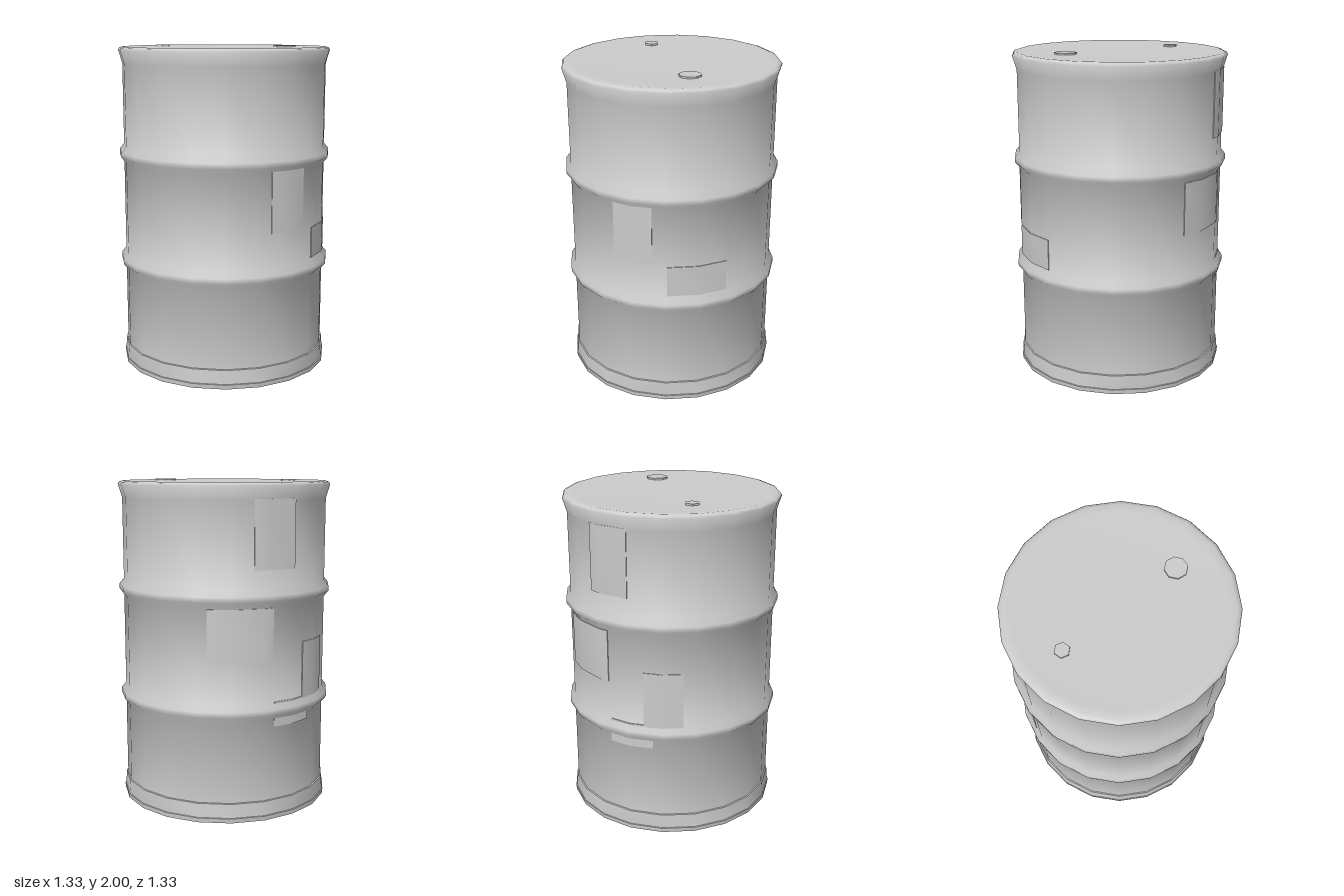
import * as THREE from 'three';
import { toCreasedNormals } from 'three/addons/utils/BufferGeometryUtils.js';

const SIDES = 20;
const BODY_R = 0.635;
const STEP = (Math.PI * 2) / SIDES;
const steel = new THREE.MeshStandardMaterial({ color: 0xcccccc });
steel.name = 'grey steel';

function part(name, geometry, parent) {
  const mesh = new THREE.Mesh(geometry, steel);
  mesh.name = name;
  parent.add(mesh);
  return mesh;
}

// Four profile points of a rolled hoop around height y
const hoop = (y) => [[BODY_R, y - 0.05], [0.663, y - 0.016], [0.663, y + 0.016], [BODY_R, y + 0.05]];

// Curved plate that follows the faceted wall; angles in degrees from +z towards +x
function wallPlate(fromDeg, toDeg, y0, y1) {
  const a0 = THREE.MathUtils.degToRad(fromDeg);
  const a1 = THREE.MathUtils.degToRad(toDeg);
  const angles = [a0];
  for (let k = Math.floor(a0 / STEP) + 1; k * STEP < a1 - 0.001; k++) angles.push(k * STEP);
  angles.push(a1);
  const point = (a, r) => {
    const local = a - Math.floor(a / STEP + 1e-6) * STEP - STEP / 2;
    const d = (r * Math.cos(STEP / 2)) / Math.cos(local);
    return new THREE.Vector2(d * Math.sin(a), -d * Math.cos(a));
  };
  const outline = [
    ...angles.map((a) => point(a, BODY_R + 0.005)),
    ...angles.slice().reverse().map((a) => point(a, BODY_R - 0.003)),
  ];
  const geometry = new THREE.ExtrudeGeometry(new THREE.Shape(outline), { depth: y1 - y0, bevelEnabled: false });
  geometry.rotateX(-Math.PI / 2).translate(0, y0, 0);
  return toCreasedNormals(geometry, 0.6);
}

export function createModel() {
  const drum = new THREE.Group();
  drum.name = 'drum';

  // Shell: base, bottom rim, wall with two hoops, top rim and lid
  const profile = [
    [0, 0], [0.652, 0], [0.655, 0.028], [0.65, 0.03], [0.642, 0.115], [BODY_R, 0.118],
    ...hoop(0.664), ...hoop(1.338),
    [BODY_R, 1.89], [0.66, 1.972], [0.652, 1.985], [0.63, 1.992], [0.59, 1.99], [0, 1.988],
  ].map(([r, y]) => new THREE.Vector2(r, y));
  part('shell', toCreasedNormals(new THREE.LatheGeometry(profile, SIDES), 0.95), drum);

  // Bung caps on the lid: radius, sides, x, z
  const caps = [['largeCap', 0.067, 8, 0.365, 0.11], ['smallCap', 0.045, 6, -0.385, -0.095]];
  for (const [name, r, n, x, z] of caps) {
    const geometry = toCreasedNormals(new THREE.CylinderGeometry(r, r, 0.03, n), 0.3);
    part(name, geometry, drum).position.set(x, 1.985, z);
  }

  // Blank plates on the wall: start angle, end angle, bottom, top
  const plates = [
    ['frontPlate', 25, 47, 0.93, 1.3],
    ['sidePlate', 55, 88, 0.73, 0.92],
    ['upperBackPlate', 192, 216, 1.5, 1.9],
    ['middleBackPlate', 167, 203, 0.96, 1.28],
    ['rightBackPlate', 224, 245.5, 0.71, 1.055],
    ['lowerBackPlate', 204, 229, 0.57, 0.72],
  ];
  for (const [name, ...spec] of plates) part(name, wallPlate(...spec), drum);

  return drum;
}
